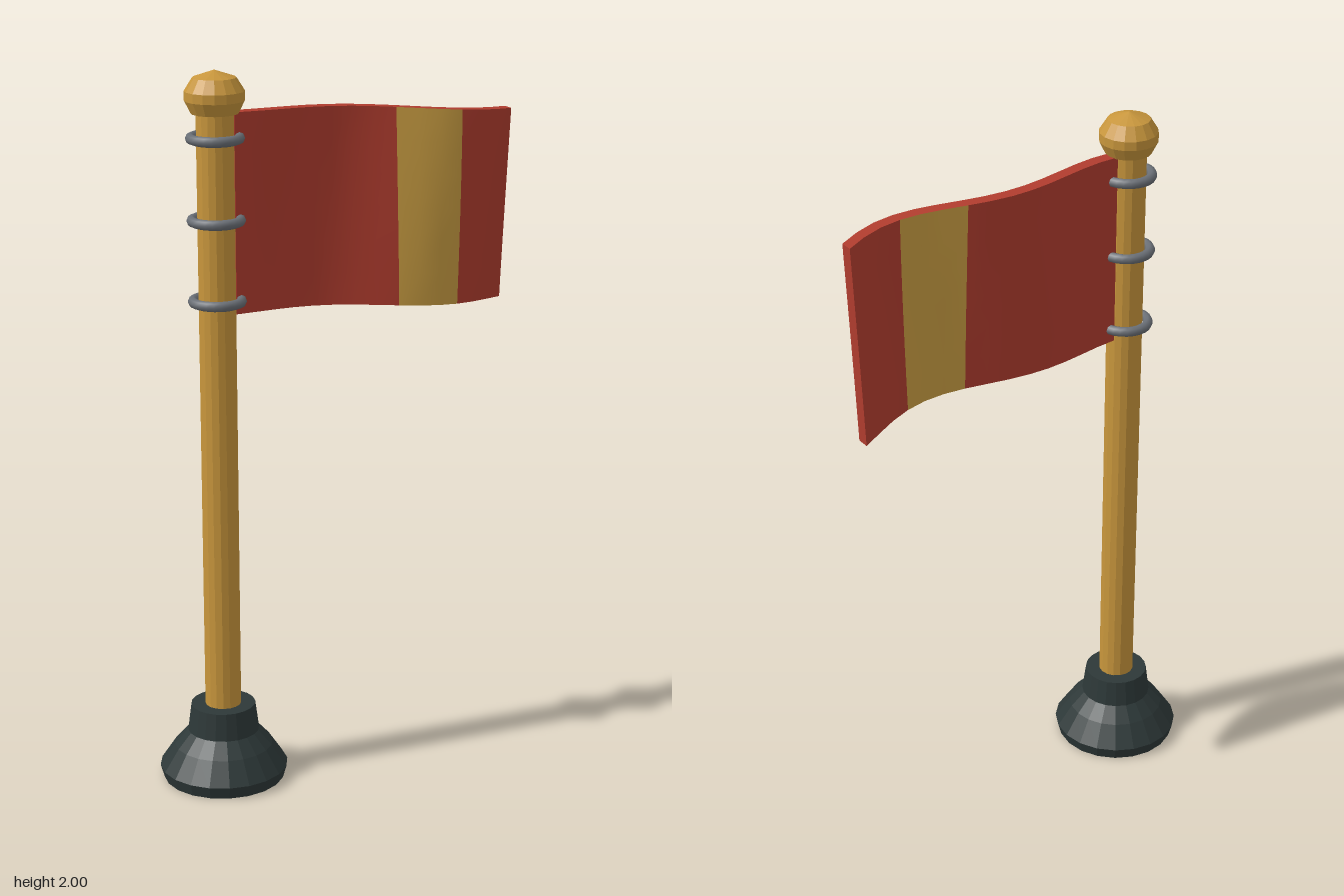
import * as THREE from 'three';

const paint = (name, color, flatShading = false) =>
  new THREE.MeshStandardMaterial({ name, color, flatShading });

// Revolved part from [radius, height] pairs, bottom to top
function lathe(name, profile, sides, material) {
  const points = profile.map(([r, y]) => new THREE.Vector2(r, y));
  const mesh = new THREE.Mesh(new THREE.LatheGeometry(points, sides), material);
  mesh.name = name;
  return mesh;
}

// Waving cloth: a subdivided slab bent by a sine that grows towards the free end
function flagGeometry() {
  const start = -0.3, width = 0.825, height = 0.545, columns = 14, rows = 6;
  const geo = new THREE.BoxGeometry(width, height, 0.036, columns, rows, 1);
  const p = geo.attributes.position;
  for (let i = 0; i < p.count; i++) {
    const u = p.getX(i) / width + 0.5;
    const down = 0.5 - p.getY(i) / height;
    const wave = 0.066 * Math.pow(u, 0.8) * Math.sin(6.7 * (u - 0.55) + 0.74 * down);
    const sag = 0.048 * Math.pow(u, 1.6);
    p.setXYZ(i, start + u * width, 1.887 - down * height - sag, p.getZ(i) + wave);
  }
  geo.computeVertexNormals();

  // Edges stay red; front and back carry a gold band over columns 8 to 10
  const sides = geo.groups.slice();
  geo.clearGroups();
  sides.slice(0, 4).forEach((g) => geo.addGroup(g.start, g.count, 0));
  [[8, 3, 3], [3, 3, 8]].forEach((bands, k) => {
    let at = sides[4 + k].start;
    for (let row = 0; row < rows; row++) {
      bands.forEach((n, j) => {
        geo.addGroup(at, n * 6, j === 1 ? 1 : 0);
        at += n * 6;
      });
    }
  });
  return geo;
}

export function createModel() {
  const model = new THREE.Group();
  model.name = 'flagOnPole';

  const gold = paint('gold', 0xc8963c, true);
  const bandGold = paint('bandGold', 0xc99d42);
  const red = paint('red', 0xb03c2e);
  const charcoal = paint('charcoal', 0x2d3838, true);
  const steel = paint('steel', 0x6a6f76);

  // Pole assembly, set off to one side
  const stand = new THREE.Group();
  stand.name = 'stand';
  stand.position.x = -0.348;
  model.add(stand);

  stand.add(lathe('base', [
    [0, 0], [0.17, 0], [0.18, 0.035], [0.138, 0.098], [0.1, 0.14], [0.09, 0.217], [0, 0.217],
  ], 20, charcoal));

  const pole = new THREE.Mesh(new THREE.CylinderGeometry(0.05, 0.05, 1.72, 16), gold);
  pole.name = 'pole';
  pole.position.y = 1.04;
  stand.add(pole);

  stand.add(lathe('finial', [
    [0, 1.886], [0.063, 1.886], [0.08, 1.92], [0.08, 1.945], [0.058, 1.98], [0, 2],
  ], 16, gold));

  // Rings that hold the cloth
  const ringGeo = new THREE.TorusGeometry(0.065, 0.014, 8, 24).rotateX(Math.PI / 2);
  [1.38, 1.6, 1.82].forEach((y) => {
    const ring = new THREE.Mesh(ringGeo, steel);
    ring.name = 'ring';
    ring.position.y = y;
    stand.add(ring);
  });

  const flag = new THREE.Mesh(flagGeometry(), [red, bandGold]);
  flag.name = 'flag';
  model.add(flag);

  return model;
}
